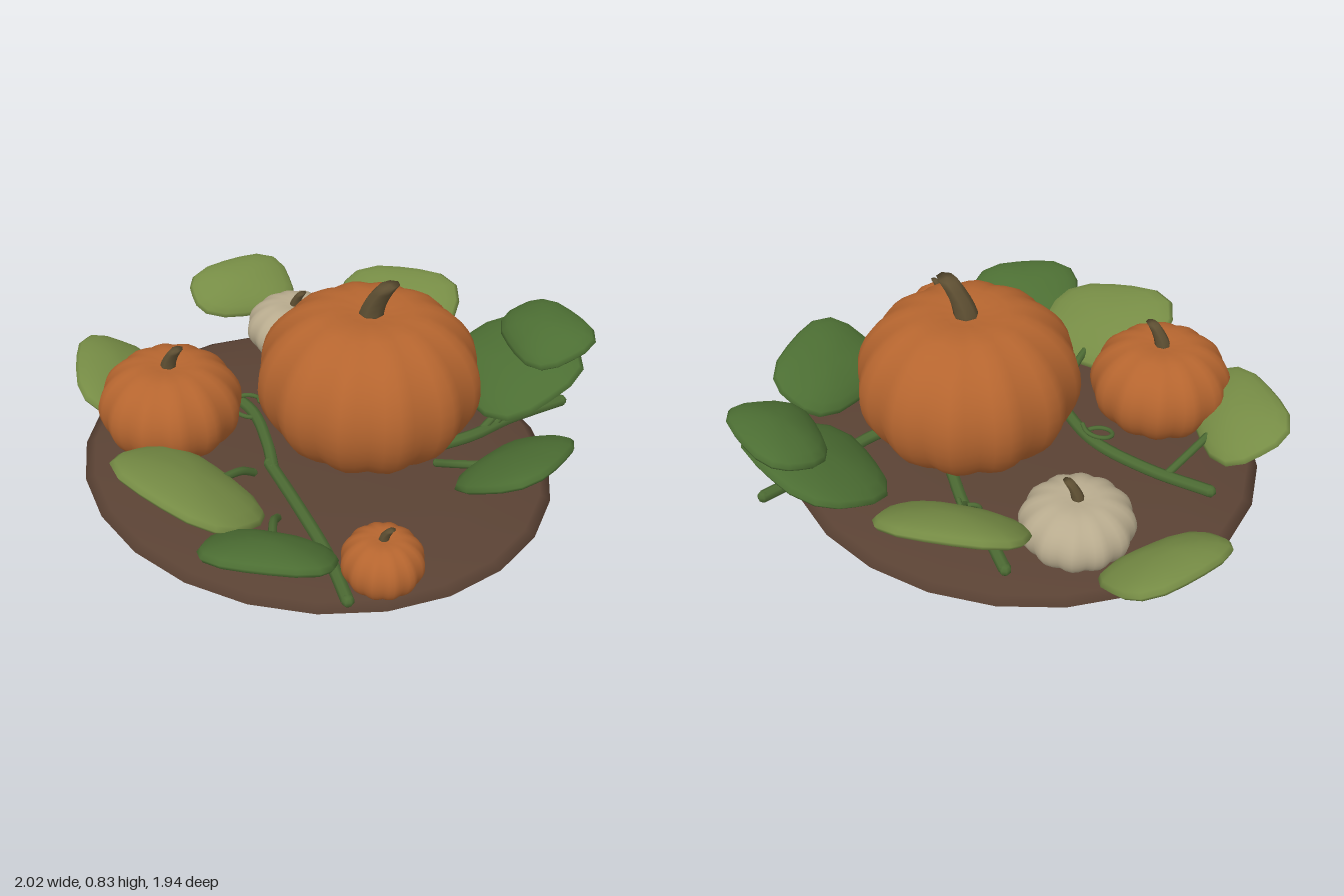
import * as THREE from 'three';
import { mergeVertices } from 'three/addons/utils/BufferGeometryUtils.js';

const mat = (color) => new THREE.MeshStandardMaterial({ color });
const MATS = {
  orange: mat(0xb5652f), cream: mat(0xb8ab8e), stem: mat(0x5f5033), soil: mat(0x5a4234),
  dark: mat(0x4c6e33), light: mat(0x768c45), vine: mat(0x4c6a33),
};

// Move every vertex by a rule, then weld and smooth.
function shape(geometry, rule) {
  geometry.deleteAttribute('uv');
  geometry.deleteAttribute('normal');
  const p = geometry.attributes.position;
  const v = new THREE.Vector3();
  for (let i = 0; i < p.count; i++) {
    rule(v.fromBufferAttribute(p, i));
    p.setXYZ(i, v.x, v.y, v.z);
  }
  const g = mergeVertices(geometry, 1e-4);
  g.computeVertexNormals();
  return g;
}

function add(parent, name, geometry, material) {
  const m = new THREE.Mesh(geometry, material);
  m.name = name;
  parent.add(m);
  return m;
}

const vec = (a) => new THREE.Vector3(...a);

// Round tube through points, with capped ends.
function tube(parent, name, points, radius, material) {
  const pts = points.map(vec);
  const g = new THREE.Group();
  g.name = name;
  const curve = new THREE.CatmullRomCurve3(pts);
  add(g, name + 'Body', new THREE.TubeGeometry(curve, pts.length * 5, radius, 7), material);
  for (const p of [pts[0], pts[pts.length - 1]]) {
    add(g, name + 'End', new THREE.SphereGeometry(radius, 7, 5), material).position.copy(p);
  }
  parent.add(g);
}

// Ribbed pumpkin: radius r, standing between y0 and y1, with a bent stem.
function pumpkin(name, [x, z], r, y0, y1, stemHeight, material) {
  const g = new THREE.Group();
  g.name = name;
  const h = (y1 - y0) / 2;
  const body = shape(new THREE.SphereGeometry(1, 48, 20), (v) => {
    const a = Math.atan2(v.z, v.x);
    const flat = Math.hypot(v.x, v.z);
    const rib = 1 - 0.07 * Math.pow(Math.abs(Math.cos(a * 6)), 3);
    const k = Math.pow(flat, 0.86) / Math.max(flat, 1e-6);
    const dip = 0.14 * Math.exp(-flat * flat * 14);
    v.set(v.x * k * r * rib, (v.y - Math.sign(v.y) * dip) * h * 1.03, v.z * k * r * rib);
  });
  add(g, name + 'Body', body, material);

  // Stem: a tapered six-sided post bent toward +x.
  const w = stemHeight * 0.5;
  const stem = shape(new THREE.CylinderGeometry(w * 0.78, w, 1, 7, 5), (v) => {
    const t = v.y + 0.5;
    v.x += w * 1.5 * t * t;
    v.y = h * 0.82 + t * (h * 0.18 + stemHeight) + v.x * 0.15 * t;
    v.z *= 0.95;
  });
  add(g, name + 'Stem', stem, MATS.stem);
  g.position.set(x, (y0 + y1) / 2, z);
  return g;
}

// Thick rounded leaf: a = half length, b = half width, pitch lifts the outer edge.
function leaf(name, position, a, b, yaw, pitch, roll, material) {
  const geo = shape(new THREE.SphereGeometry(1, 18, 10), (v) => {
    const f = Math.hypot(v.x, v.z);
    const c = Math.atan2(v.z, v.x);
    const outline = 1 + 0.06 * Math.cos(4 * c + Math.PI);
    const y = v.y * 0.048 - 0.02 * f * f + 0.01;
    v.set(v.x * a * outline, y, v.z * b * outline * (1 - 0.14 * v.x));
  });
  const m = new THREE.Mesh(geo, material);
  m.name = name;
  m.position.copy(vec(position));
  m.rotation.set(-pitch, yaw, roll, 'YXZ');
  return m;
}

export function createModel() {
  const model = new THREE.Group();
  model.name = 'pumpkinPatch';

  // Soil mound
  const profile = [[0, 0], [0.92, 0], [0.95, 0.025], [0.91, 0.045], [0.72, 0.082], [0.45, 0.092], [0, 0.095]];
  const soil = add(model, 'soilMound', shape(
    new THREE.LatheGeometry(profile.map(([x, y]) => new THREE.Vector2(x, y)), 24),
    (v) => { v.z *= 0.915; }), MATS.soil);
  soil.material.flatShading = false;

  // Pumpkins
  model.add(
    pumpkin('bigPumpkin', [0.175, -0.11], 0.435, 0.085, 0.715, 0.1, MATS.orange),
    pumpkin('mediumPumpkin', [-0.475, 0.3], 0.28, 0.085, 0.47, 0.065, MATS.orange),
    pumpkin('smallPumpkin', [0.615, 0.555], 0.147, 0.075, 0.295, 0.038, MATS.orange),
    pumpkin('creamPumpkin', [-0.425, -0.52], 0.212, 0.085, 0.335, 0.05, MATS.cream),
  );

  // Leaves around the rim, outer edges raised
  const leaves = [
    ['leftRearLeaf', [0.535, 0.28, -0.65], 0.3, 0.25, 2.6, 0.38, 0, 'dark'],
    ['leftRearUpperLeaf', [0.64, 0.435, -0.715], 0.225, 0.165, 2.5, 0.3, 0, 'dark'],
    ['leftLeaf', [0.815, 0.255, -0.095], 0.255, 0.2, 1.47, 0.5, -0.1, 'dark'],
    ['frontLeftLeaf', [0.295, 0.235, 0.77], 0.25, 0.175, 0.35, 0.42, 0, 'dark'],
    ['frontLeaf', [-0.125, 0.245, 0.64], 0.305, 0.235, -0.08, 0.4, -0.13, 'light'],
    ['rightLeaf', [-0.8, 0.255, 0.24], 0.275, 0.18, -0.95, 0.45, 0, 'light'],
    ['rightRearLeaf', [-0.785, 0.25, -0.63], 0.25, 0.17, -2.2, 0.45, 0, 'light'],
    ['rearLeaf', [-0.07, 0.305, -0.785], 0.285, 0.205, Math.PI + 0.15, 0.52, 0, 'light'],
  ];
  for (const [name, p, a, b, yaw, pitch, roll, c] of leaves) {
    model.add(leaf(name, p, a, b, yaw, pitch, roll, MATS[c]));
  }

  // Vines lying on the soil
  const vines = [
    [[-0.8, 0.115, -0.085], [-0.55, 0.12, -0.06], [-0.3, 0.13, 0.01], [-0.12, 0.13, 0.16], [-0.02, 0.12, 0.27]],
    [[-0.05, 0.12, 0.25], [0.2, 0.12, 0.42], [0.4, 0.11, 0.56], [0.57, 0.105, 0.71]],
    [[0.4, 0.13, -0.1], [0.54, 0.125, -0.32], [0.61, 0.12, -0.5], [0.74, 0.115, -0.74]],
    [[0.15, 0.13, -0.35], [0.0, 0.12, -0.53], [-0.12, 0.12, -0.62], [-0.24, 0.11, -0.74]],
  ];
  vines.forEach((p) => tube(model, 'vine', p, 0.024, MATS.vine));

  // Leaf stalks rising from the vines
  const stalks = [
    [[-0.07, 0.12, 0.33], [-0.08, 0.17, 0.4], [-0.1, 0.21, 0.55]],
    [[0.15, 0.12, 0.5], [0.18, 0.17, 0.57], [0.25, 0.2, 0.68]],
    [[0.5, 0.13, -0.08], [0.6, 0.18, -0.06], [0.74, 0.22, -0.08]],
    [[0.55, 0.12, -0.36], [0.58, 0.18, -0.45], [0.55, 0.25, -0.58]],
    [[0.58, 0.12, -0.42], [0.63, 0.25, -0.55], [0.64, 0.42, -0.68]],
    [[0.02, 0.12, -0.5], [0.0, 0.17, -0.57], [-0.04, 0.26, -0.7]],
    [[-0.62, 0.12, -0.07], [-0.68, 0.17, 0.03], [-0.76, 0.23, 0.18]],
  ];
  stalks.forEach((p) => tube(model, 'leafStalk', p, 0.016, MATS.vine));

  // Curled tendrils
  const curl = (x, z, r) => Array.from({ length: 9 }, (_, i) => {
    const a = i * 0.75;
    return [x + Math.cos(a) * r, 0.13 + i * 0.008, z + Math.sin(a) * r * 0.8];
  });
  [[-0.31, 0.03, 0.06], [-0.02, -0.55, 0.04]].forEach((c) => tube(model, 'tendril', curl(...c), 0.009, MATS.vine));

  return model;
}
